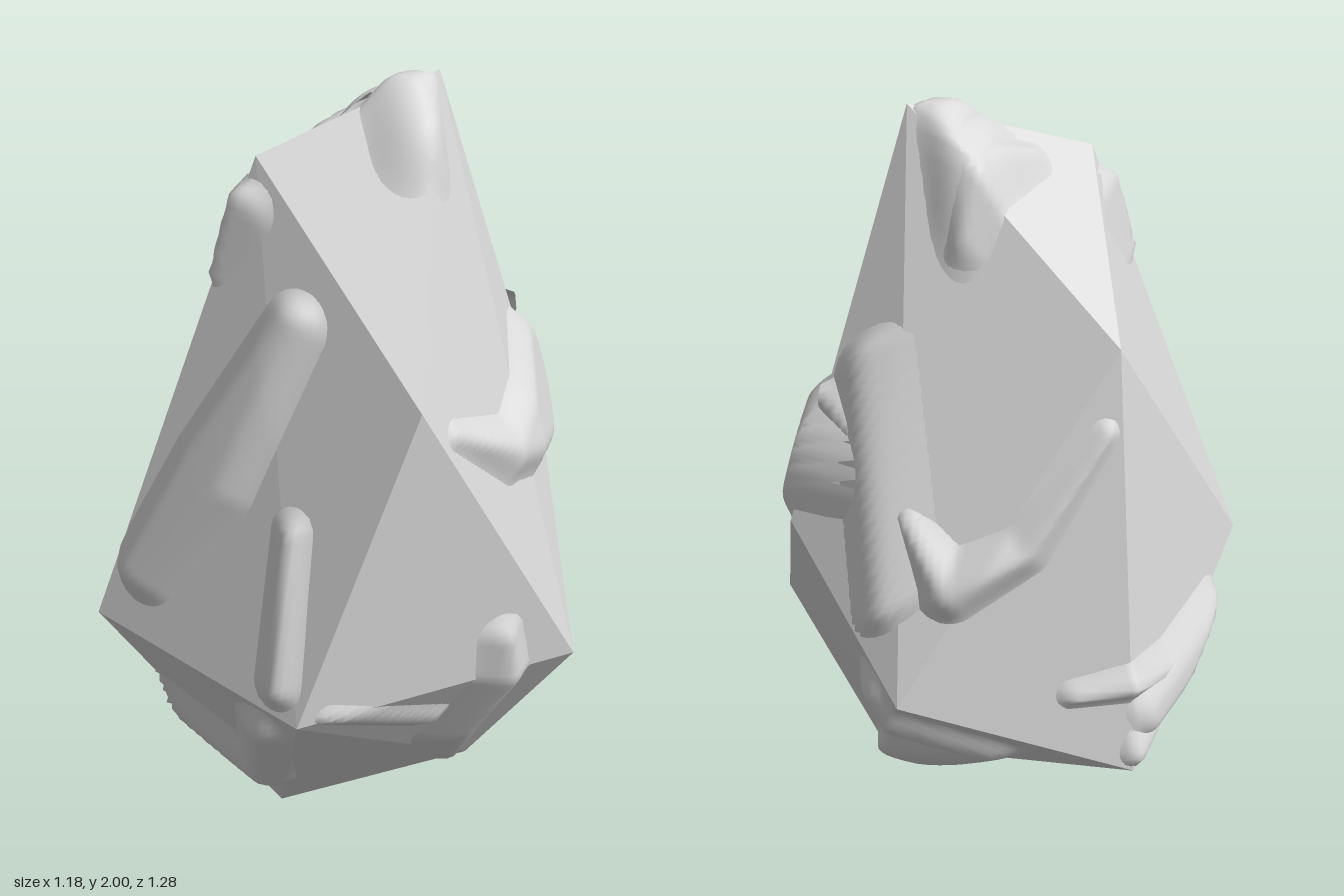
import * as THREE from 'three';
import { ConvexGeometry } from 'three/addons/geometries/ConvexGeometry.js';

// Directions the lumps are sketched from: azimuth and elevation in degrees
const FRONT = [0, 0], LEFT = [90, 0], RIGHT = [270, 0], TOP = [0, 90];
const BACK = [213, 25], UNDER = [135, -25];
const STEP = 0.016;

// Depth of a point inside a tapered stroke of [u, v, width] points, negative outside
function strokeDepth(u, v, stroke) {
  let depth = -Infinity;
  for (let i = 1; i < stroke.length; i++) {
    const [au, av, aw] = stroke[i - 1], [bu, bv, bw] = stroke[i];
    const du = bu - au, dv = bv - av;
    const t = THREE.MathUtils.clamp(((u - au) * du + (v - av) * dv) / (du * du + dv * dv), 0, 1);
    const distance = Math.hypot(u - au - t * du, v - av - t * dv);
    depth = Math.max(depth, aw + (bw - aw) * t - distance);
  }
  return depth;
}

// Smooth worn lump: a tapered stroke projected on the core and raised by a rule
function lumpGeometry(core, view, stroke) {
  const [a, e] = view.map(THREE.MathUtils.degToRad);
  const right = new THREE.Vector3(Math.cos(a), 0, -Math.sin(a));
  const out = new THREE.Vector3(Math.sin(a) * Math.cos(e), Math.sin(e), Math.cos(a) * Math.cos(e));
  const up = out.clone().cross(right);
  const box = new THREE.Box2();
  for (const [u, v, w] of stroke) {
    const reach = new THREE.Vector2(w + 0.04, w + 0.04), at = new THREE.Vector2(u, v);
    box.expandByPoint(at.clone().add(reach)).expandByPoint(at.sub(reach));
  }
  const nu = Math.ceil((box.max.x - box.min.x) / STEP);
  const nv = Math.ceil((box.max.y - box.min.y) / STEP);
  const ray = new THREE.Raycaster();
  const positions = [], index = [], ids = [];

  for (let j = 0; j <= nv; j++) {
    for (let i = 0; i <= nu; i++) {
      const u = box.min.x + i * STEP, v = box.min.y + j * STEP;
      const depth = strokeDepth(u, v, stroke);
      let id = -1;
      if (depth > -STEP * 1.5) {
        const from = right.clone().multiplyScalar(u).addScaledVector(up, v).addScaledVector(out, 5);
        ray.set(from, out.clone().negate());
        const hit = ray.intersectObject(core)[0];
        if (hit) {
          // The rim sinks below the core so that the lump grows out of it
          const lift = -0.006 + Math.min(depth, 0) * 0.4 + 0.058 * THREE.MathUtils.smoothstep(depth, -0.01, 0.1);
          const { x, y, z } = hit.point;
          const outward = new THREE.Vector3(x, (y - 0.9) * 0.4, z).normalize();
          const p = hit.point.addScaledVector(outward, lift);
          id = positions.length / 3;
          positions.push(p.x, THREE.MathUtils.clamp(p.y, 0, 2), p.z);
        }
      }
      ids.push(id);
    }
  }
  const row = nu + 1;
  for (let j = 0; j < nv; j++) {
    for (let i = 0; i < nu; i++) {
      const k = j * row + i;
      const [p, q, r, s] = [ids[k], ids[k + 1], ids[k + row + 1], ids[k + row]];
      if (Math.min(p, q, r) >= 0) index.push(p, q, r);
      if (Math.min(p, r, s) >= 0) index.push(p, r, s);
    }
  }
  const geometry = new THREE.BufferGeometry();
  geometry.setAttribute('position', new THREE.Float32BufferAttribute(positions, 3));
  geometry.setIndex(index);
  geometry.computeVertexNormals();
  return geometry;
}

export function createModel() {
  const group = new THREE.Group();
  group.name = 'rock';
  const stone = new THREE.MeshStandardMaterial({ color: 0xd8d8d8, side: THREE.DoubleSide });
  stone.name = 'pale grey stone';

  // Faceted core: a boulder with twelve corners
  const corners = [
    [0.16, 2, -0.14], [-0.18, 1.84, 0.18], [-0.41, 1.5, -0.19], [0.34, 1.36, 0.4],
    [0.34, 1, -0.47], [-0.51, 0.66, 0.49], [-0.03, 0.65, -0.64], [0.12, 0.57, 0.64],
    [0.6, 0.49, -0.06], [-0.54, 0.41, -0.34], [0.29, 0.05, -0.1], [-0.12, 0, 0.24],
  ].map(c => new THREE.Vector3(...c));
  const core = new THREE.Mesh(new ConvexGeometry(corners), stone);
  core.name = 'facetedCore';
  group.add(core);

  const addLump = (name, view, ...stroke) => {
    const lump = new THREE.Mesh(lumpGeometry(core, view, stroke), stone);
    lump.name = name;
    group.add(lump);
  };

  // Upper lumps
  addLump('topLump', TOP, [-0.1, -0.02, 0.05], [0, 0.15, 0.11], [0.14, 0, 0.11]);
  addLump('shoulderLump', FRONT, [-0.26, 1.55, 0.04], [-0.19, 1.71, 0.09]);
  addLump('upperBackLump', BACK, [-0.1, 1.45, 0.07], [-0.06, 1.67, 0.13]);

  // Middle ridges
  addLump('frontRidge', FRONT, [-0.37, 0.82, 0.11], [-0.2, 1.1, 0.14], [-0.02, 1.48, 0.1]);
  addLump('frontRib', FRONT, [0.04, 1.02, 0.07], [0.05, 0.66, 0.08]);
  addLump('leftRidge', LEFT, [-0.27, 1.25, 0.05], [-0.02, 1.1, 0.1], [0.28, 1.12, 0.22]);
  addLump('backRidge', BACK, [0.2, 1, 0.05], [0, 0.73, 0.08], [-0.18, 0.65, 0.1], [-0.27, 0.83, 0.05]);
  addLump('backRib', BACK, [-0.44, 1.14, 0.06], [-0.3, 0.92, 0.05]);
  addLump('backEdgeRib', UNDER, [0.12, 1.44, 0.08], [0.36, 0.97, 0.07]);

  // Lower lumps
  addLump('lowerFrontLump', FRONT, [-0.02, 0.48, 0.1], [-0.11, 0.2, 0.1], [-0.4, 0.4, 0.08]);
  addLump('lowerRightLump', RIGHT, [-0.22, 0.55, 0.12], [0.22, 0.53, 0.12]);
  addLump('lowerLeftRib', LEFT, [-0.15, 0.64, 0.07], [-0.1, 0.3, 0.1], [0, 0.12, 0.06]);
  addLump('frontEdgeRib', LEFT, [-0.57, 0.58, 0.04], [-0.22, 0.39, 0.05]);
  addLump('lowerBackLump', BACK, [0.11, 0.35, 0.05], [0.42, 0.38, 0.08], [0.28, 0.18, 0.06]);
  addLump('undersideLump', UNDER, [0.33, 0.75, 0.1], [0.38, 0.45, 0.1], [0, 0.22, 0.12]);
  return group;
}
